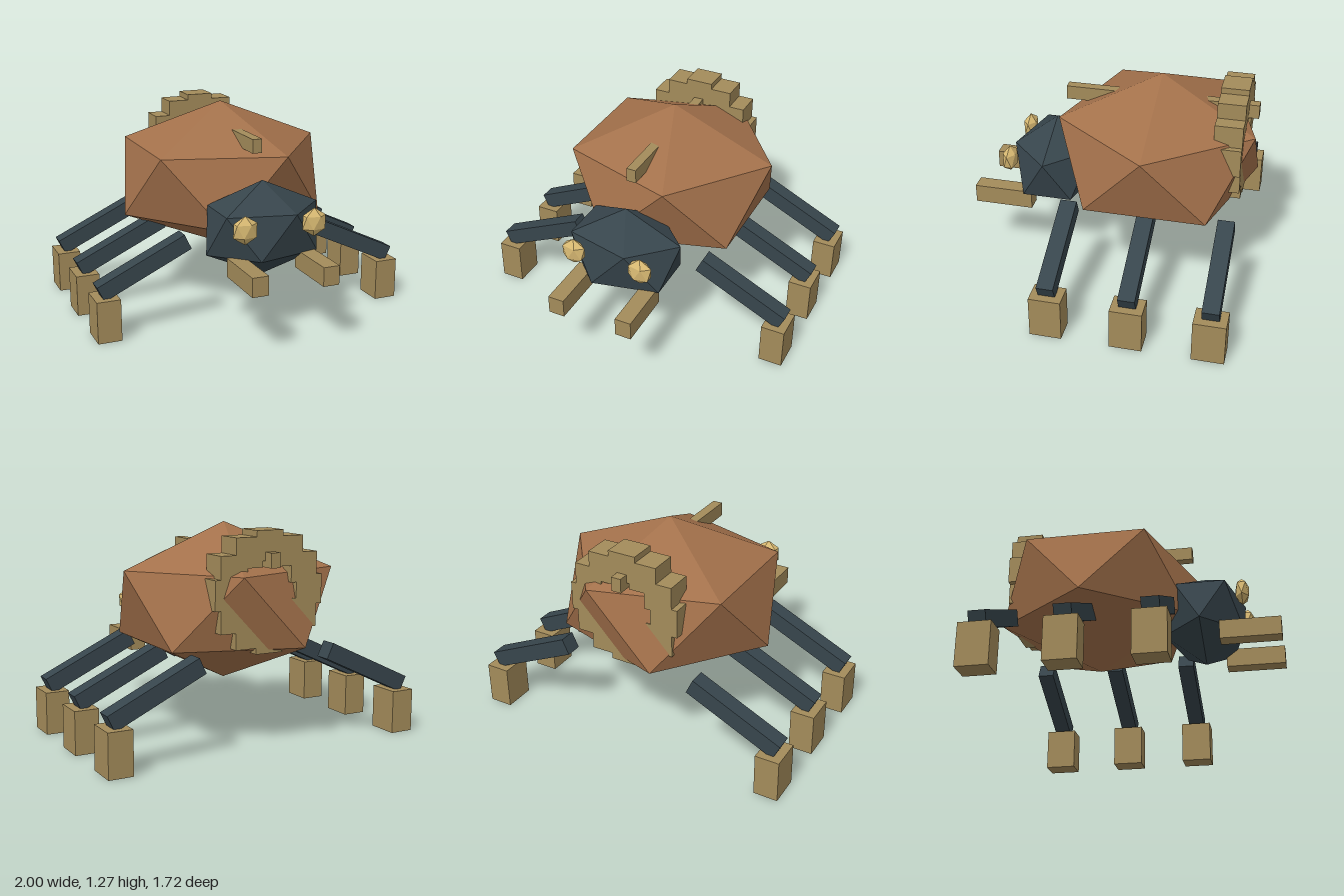
import * as THREE from 'three';
import { ConvexGeometry } from 'three/addons/geometries/ConvexGeometry.js';

export function createModel() {
  const model = new THREE.Group();
  model.name = 'beetle';

  const material = (name, color) => {
    const m = new THREE.MeshStandardMaterial({ color, flatShading: true });
    m.name = name;
    return m;
  };
  const shell = material('brown shell', 0xa3714b);
  const dark = material('dark slate', 0x37454c);
  const tan = material('tan horn', 0xa38b5a);
  const gold = material('pale gold', 0xd8b972);

  function add(name, geometry, mat, x, y, z) {
    const mesh = new THREE.Mesh(geometry, mat);
    mesh.name = name;
    mesh.position.set(x, y, z);
    model.add(mesh);
    return mesh;
  }
  const box = (name, mat, w, h, d, x, y, z) =>
    add(name, new THREE.BoxGeometry(w, h, d), mat, x, y, z);

  // Icosahedron standing on a corner: two poles and two staggered rings of five
  function gem(rx, ry, rz) {
    const points = [new THREE.Vector3(0, ry, 0), new THREE.Vector3(0, -ry, 0)];
    const h = 1 / Math.sqrt(5);
    for (let i = 0; i < 5; i++) {
      const a = (i * Math.PI * 2) / 5;
      const x = Math.cos(a) * 2 * h * rx;
      const z = Math.sin(a) * 2 * h * rz;
      points.push(new THREE.Vector3(x, h * ry, z), new THREE.Vector3(-x, -h * ry, z));
    }
    return new ConvexGeometry(points);
  }

  // Body and head
  add('body', gem(0.727, 0.472, 0.691), shell, 0, 0.803, -0.27);
  add('head', gem(0.4, 0.29, 0.288), dark, 0, 0.62, 0.388);

  // Bar running through the top of the body
  box('backBar', tan, 0.06, 0.085, 1.17, 0, 1.097, -0.27);

  // Ring of blocks around the tail
  for (let i = 0; i < 12; i++) {
    const a = (i * Math.PI) / 6;
    box('tailRingBlock', tan, 0.17, 0.17, 0.165,
      Math.sin(a) * 0.26, 0.915 + Math.cos(a) * 0.26, -0.712);
  }

  for (const side of [-1, 1]) {
    // Eyes and jaws
    add('eye', gem(0.083, 0.086, 0.047), gold, side * 0.217, 0.697, 0.637);
    box('jaw', tan, 0.1, 0.115, 0.365, side * 0.22, 0.438, 0.678);

    // Three sloping legs, each on a block foot
    for (const z of [0.204, -0.27, -0.745]) {
      const leg = box('leg', dark, 0.6, 0.1, 0.1, side * 0.69, 0.413, z);
      leg.rotation.z = -side * 0.44;
      box('foot', tan, 0.145, 0.257, 0.19, side * 0.9275, 0.1285, z);
    }
  }
  return model;
}
